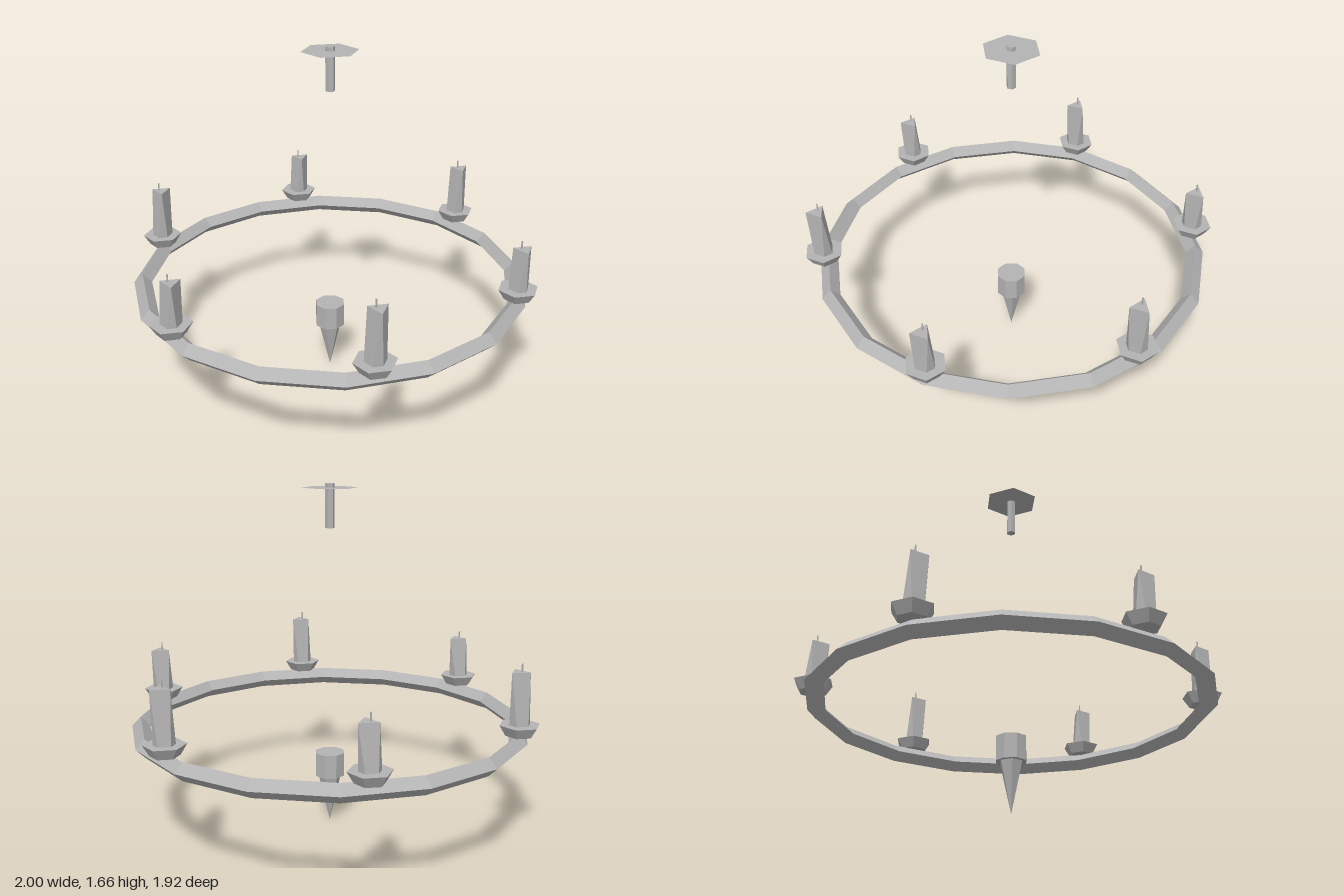
import * as THREE from 'three';
import { ConvexGeometry } from 'three/addons/geometries/ConvexGeometry.js';

const metal = new THREE.MeshStandardMaterial({ color: 0xb4b4b4, flatShading: true, side: THREE.DoubleSide });
metal.name = 'grey';

function add(parent, name, geometry, x = 0, y = 0, z = 0) {
  const mesh = new THREE.Mesh(geometry, metal);
  mesh.name = name;
  mesh.position.set(x, y, z);
  parent.add(mesh);
  return mesh;
}

// Candle body: hexagonal foot narrowing to a triangular top
function candleGeometry(bottom, top) {
  const points = [];
  for (let i = 0; i < 6; i++) {
    const a = (i * Math.PI) / 3;
    points.push(new THREE.Vector3(0.05 * Math.sin(a), bottom, 0.05 * Math.cos(a)));
  }
  points.push(
    new THREE.Vector3(0.038, top, 0.0435),
    new THREE.Vector3(0.038, top, -0.0435),
    new THREE.Vector3(-0.038, top, 0),
  );
  return new ConvexGeometry(points);
}

export function createModel() {
  const model = new THREE.Group();
  model.name = 'chandelier';

  // Diamond-section hoop
  const hoop = add(model, 'hoop', new THREE.TorusGeometry(0.915, 0.043, 4, 16), 0, 0.507, 0);
  hoop.rotation.x = Math.PI / 2;

  // Six candles in drip cups, alternating short and tall
  for (let i = 0; i < 6; i++) {
    const a = (i * Math.PI) / 3;
    const top = i % 2 ? 0.845 : 0.8;
    const holder = new THREE.Group();
    holder.name = 'candleHolder' + (i + 1);
    holder.position.set(0.917 * Math.cos(a), 0, 0.917 * Math.sin(a));
    add(holder, 'dripCup', new THREE.CylinderGeometry(0.096, 0.066, 0.05, 6), 0, 0.573, 0);
    add(holder, 'candle', candleGeometry(0.56, top));
    add(holder, 'wick', new THREE.CylinderGeometry(0.004, 0.004, 0.05, 4), 0, top + 0.013, 0);
    model.add(holder);
  }

  // Hanging finial under the hoop
  add(model, 'finialCap', new THREE.CylinderGeometry(0.074, 0.074, 0.117, 8), 0, 0.3, 0);
  add(model, 'finialSpike', new THREE.ConeGeometry(0.057, 0.245, 6), 0, 0.1225, 0).rotation.x = Math.PI;

  // Ceiling plate and rod
  add(model, 'ceilingRod', new THREE.CylinderGeometry(0.022, 0.022, 0.205, 6), 0, 1.557, 0);
  const plate = add(model, 'ceilingPlate', new THREE.CircleGeometry(0.134, 6, Math.PI / 2), 0, 1.64, 0);
  plate.rotation.x = -Math.PI / 2;

  return model;
}
